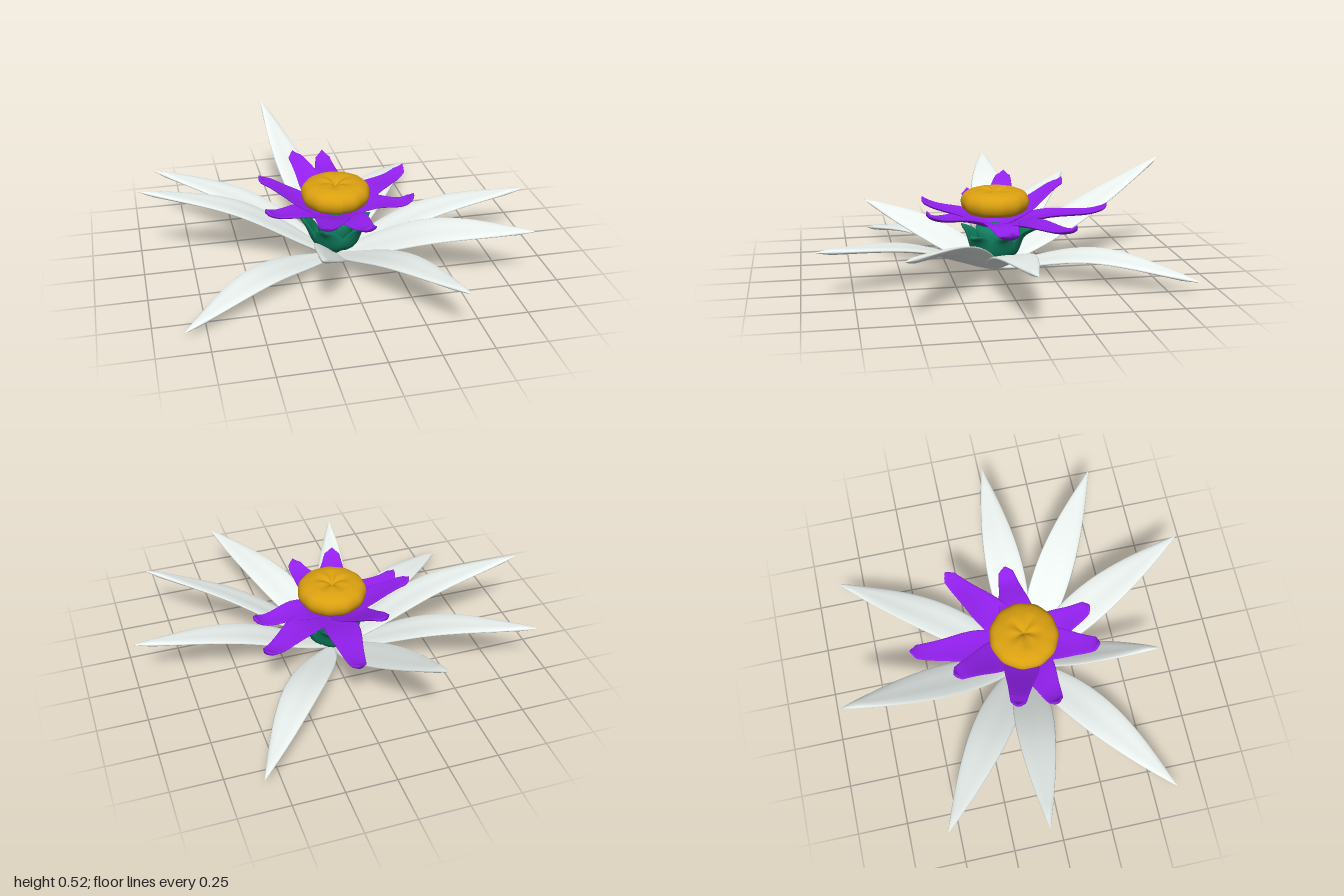
import * as THREE from 'three';

const CX = -0.02, CZ = 0.01;
const mat = (color) => new THREE.MeshStandardMaterial({ color, side: THREE.DoubleSide });
const white = mat(0xebf2ef), purple = mat(0x9420f0), green = mat(0x0f7f5f), gold = mat(0xdaa010);

// Blend through evenly spaced values
function sample(values, t) {
  const f = t * (values.length - 1), i = Math.min(Math.floor(f), values.length - 2);
  return THREE.MathUtils.lerp(values[i], values[i + 1], f - i);
}

// Lens-shaped blade swept along a curve; width(t) gives the half width, cup lifts its edges
function blade(name, points, width, { cup, keel = 0, thick, roll = 0, material }) {
  const curve = new THREE.CatmullRomCurve3(points.map((p) => new THREE.Vector3(...p)));
  const rows = 36, sides = 20, pos = [], idx = [];
  const up = new THREE.Vector3(0, 1, 0);
  for (let i = 0; i <= rows; i++) {
    const t = i / rows, p = curve.getPointAt(t), tan = curve.getTangentAt(t);
    const side = new THREE.Vector3().crossVectors(tan, up).normalize().applyAxisAngle(tan, roll);
    const normal = new THREE.Vector3().crossVectors(side, tan).normalize();
    const w = width(t), h = Math.min(thick, w * 0.6);
    for (let j = 0; j < sides; j++) {
      const a = (j / sides) * Math.PI * 2, u = Math.cos(a);
      const rise = cup * w * u * u - keel * w * Math.exp(-u * u * 30) + h * Math.sin(a);
      const v = p.clone().addScaledVector(side, u * w).addScaledVector(normal, rise);
      pos.push(v.x, Math.max(v.y, 0), v.z);
      if (i < rows) {
        const k = (j + 1) % sides, r = i * sides, s = r + sides;
        idx.push(r + j, s + j, r + k, r + k, s + j, s + k);
      }
    }
  }
  const geo = new THREE.BufferGeometry();
  geo.setAttribute('position', new THREE.Float32BufferAttribute(pos, 3));
  geo.setIndex(idx);
  geo.computeVertexNormals();
  const mesh = new THREE.Mesh(geo, material);
  mesh.name = name;
  return mesh;
}

export function createModel() {
  const flower = new THREE.Group();
  flower.name = 'flower';

  // Long outer leaves: tip x, y, z, height halfway along, half width, roll
  const leaves = [
    [-0.25, 0.53, -0.93, 0.27, 0.098, 0.2],
    [0.59, 0.08, -0.88, 0.142, 0.098, 0.15],
    [1.0, 0.285, 0.0, 0.22, 0.098, 0.05],
    [0.84, 0.33, 0.55, 0.237, 0.1, 0.3],
    [0.4, 0.265, 0.925, 0.2, 0.102, 0],
    [-0.22, 0.36, 0.66, 0.21, 0.088, -0.5],
    [-0.86, 0.045, 0.625, 0.113, 0.098, 0],
    [-1.0, 0.44, -0.08, 0.31, 0.097, 0],
    [-0.9, 0.33, -0.55, 0.246, 0.098, 0],
  ];
  const outer = new THREE.Group();
  outer.name = 'outerLeaves';
  leaves.forEach(([x, y, z, my, w, roll]) => {
    const base = [-0.03 + x * 0.015, 0.022, 0.01 + z * 0.015];
    const mid = [(x - 0.03) / 2, my, (z + 0.01) / 2];
    outer.add(blade('outerLeaf', [base, mid, [x, y, z]],
      (t) => 0.01 * Math.sqrt(1 - t) + (w - 0.007) * Math.pow(Math.max(Math.sin(Math.PI * Math.pow(t, 0.8)), 0), 0.95),
      { cup: 0.06, keel: 0.04, thick: 0.014, roll, material: white }));
  });
  flower.add(outer);

  // Inner petals with blunt, hooked tips: tip x, y, z
  const tips = [
    [0.03, 0.355, -0.565], [0.42, 0.345, -0.31], [0.395, 0.32, 0.0], [0.08, 0.36, 0.37],
    [-0.14, 0.385, 0.37], [-0.39, 0.365, 0.1], [-0.39, 0.455, -0.1], [-0.17, 0.455, -0.37],
  ];
  const petalWidth = [0, 0.055, 0.072, 0.083, 0.088, 0.085, 0.078, 0.069, 0.06, 0.053, 0.046, 0.038, 0];
  const inner = new THREE.Group();
  inner.name = 'innerPetals';
  tips.forEach(([x, y, z]) => {
    const at = (f, h) => [CX + (x - CX) * f, h, CZ + (z - CZ) * f];
    inner.add(blade('innerPetal',
      [at(0.05, 0.24), at(0.45, 0.28 + (y - 0.3) * 0.2), at(0.85, y - 0.05), at(0.97, y - 0.027), at(1, y)],
      (t) => sample(petalWidth, t), { cup: 0.18, thick: 0.01, material: purple }));
  });
  flower.add(inner);

  // Green sepals forming an open cup under the petals: angle, reach, tip height
  const calyx = new THREE.Group();
  calyx.name = 'calyx';
  const sepalWidth = [0.01, 0.05, 0.08, 0.095, 0.09, 0.065, 0.03, 0];
  [[-1.35, 0.25, 0.25], [-0.1, 0.19, 0.23], [0.8, 0.21, 0.22], [2.1, 0.19, 0.24], [3.3, 0.19, 0.26]].forEach(([a, r, y]) => {
    const at = (d, h) => [CX + Math.cos(a) * d, h, CZ + Math.sin(a) * d];
    calyx.add(blade('sepal', [at(0.01, 0.05), at(0.1, 0.1), at(0.15, 0.2), at(r, y)],
      (t) => sample(sepalWidth, t), { cup: 0.35, thick: 0.01, material: green }));
  });

  // Receptacle joining leaves, calyx and petals
  const core = new THREE.Mesh(new THREE.LatheGeometry(
    [[0, 0.02], [0.02, 0.03], [0.035, 0.05], [0.07, 0.1], [0.09, 0.17], [0.1, 0.24], [0, 0.26]]
      .map(([r, y]) => new THREE.Vector2(r, y)), 24), green);
  core.name = 'receptacle';
  core.position.set(CX, 0, CZ);
  calyx.add(core);
  flower.add(calyx);

  // Cushion-shaped centre with gentle lobes and a pinched dimple on top
  const profile = new THREE.SplineCurve(
    [[0, 0.305], [0.09, 0.308], [0.15, 0.325], [0.173, 0.37], [0.158, 0.412], [0.11, 0.433], [0.06, 0.434], [0.025, 0.425], [0, 0.405]]
      .map(([r, y]) => new THREE.Vector2(r, y))).getPoints(40);
  profile.forEach((p) => { p.x = Math.max(p.x, 0); });
  const discGeo = new THREE.LatheGeometry(profile, 72);
  const p = discGeo.attributes.position;
  for (let i = 0; i < p.count; i++) {
    const x = p.getX(i), y = p.getY(i), z = p.getZ(i);
    const a = Math.atan2(z, x), r = Math.hypot(x, z);
    const s = 1 + 0.01 * Math.cos(11 * a);
    const lift = y > 0.4 ? 0.004 * Math.cos(5 * a) * Math.sin(Math.min(r / 0.1, 1) * Math.PI) : 0;
    p.setXYZ(i, x * s, y + lift, z * s);
  }
  discGeo.computeVertexNormals();
  const disc = new THREE.Mesh(discGeo, gold);
  disc.name = 'flowerCentre';
  disc.position.set(CX, 0, CZ);
  flower.add(disc);

  return flower;
}
